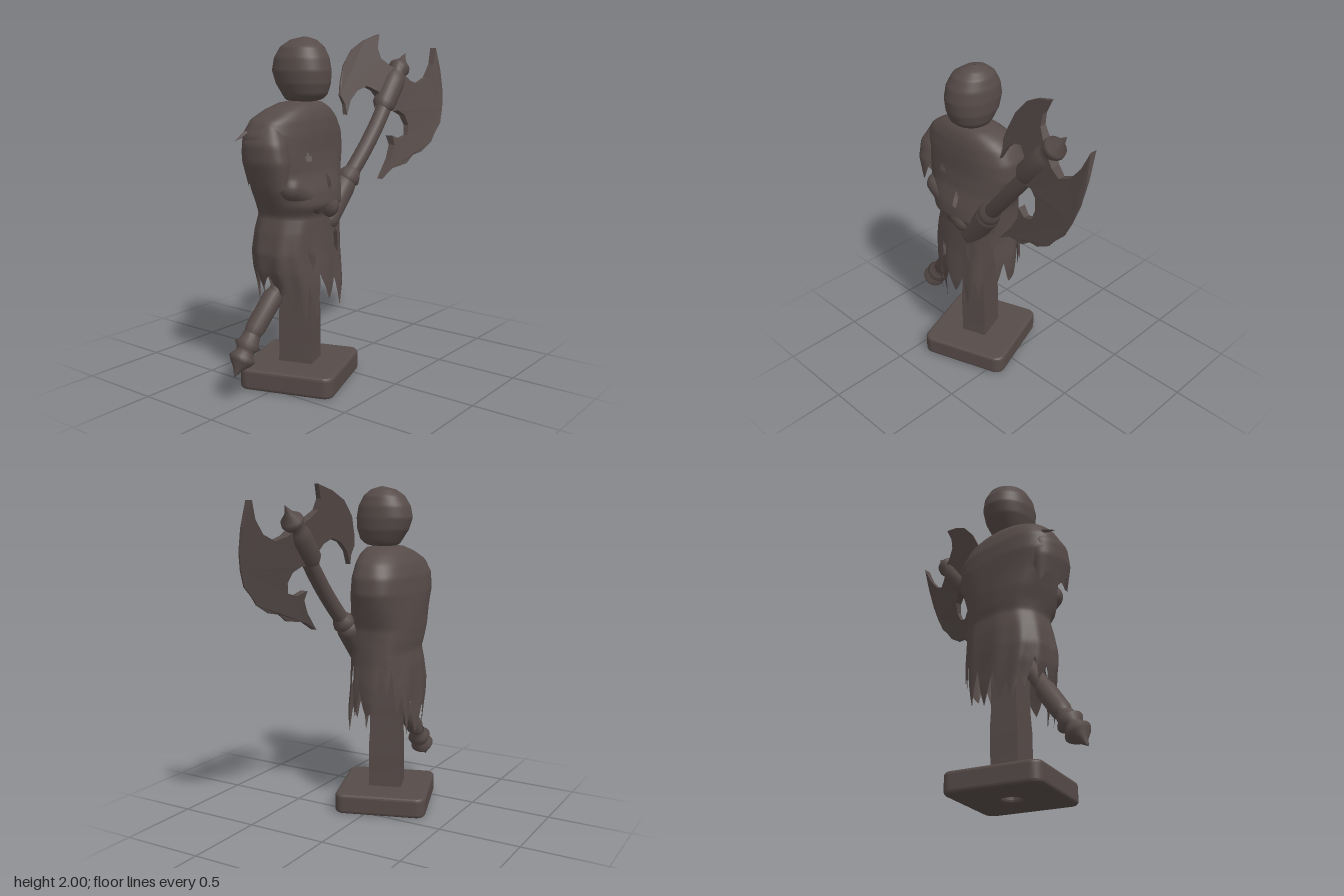
import * as THREE from 'three';

const V = (x, y, z) => new THREE.Vector3(x, y, z);

// Section at height y, interpolated from rows of [y, xMin, xMax, zMin, zMax]
function sectionAt(rows, y) {
  let k = 0;
  while (k < rows.length - 2 && y < rows[k + 1][0]) k++;
  const a = rows[k], b = rows[k + 1];
  const t = THREE.MathUtils.clamp((a[0] - y) / (a[0] - b[0]), 0, 1);
  return a.map((v, i) => v + (b[i] - v) * t);
}

// Loops of rounded sections from the top down to a hem height given per angle
function loft(rows, { seg = 96, steps = 50, power = 2.4, hem, hemTop = 0, fold = 0, holes = [] } = {}) {
  const top = rows[0][0], bottom = rows[rows.length - 1][0];
  const pos = [], index = [];
  for (let j = 0; j <= steps; j++) {
    for (let i = 0; i < seg; i++) {
      const a = (i / seg) * Math.PI * 2;
      let y = top + (bottom - top) * (j / steps);
      if (hem && y < hemTop) {
        y = hemTop + (hem(i / seg) - hemTop) * ((hemTop - y) / (hemTop - bottom));
      }
      const [, x0, x1, z0, z1] = sectionAt(rows, y);
      const c = Math.cos(a), s = Math.sin(a);
      const loose = THREE.MathUtils.clamp((1.1 - y) * 2.5, 0, 1);
      const k = 1 + fold * (loose * Math.sin(a * 11 + y * 3) + 0.35 * Math.sin(a * 5 + y * 17));
      const px = Math.sign(c) * Math.abs(c) ** (2 / power), pz = Math.sign(s) * Math.abs(s) ** (2 / power);
      pos.push((x0 + x1) / 2 + k * px * (x1 - x0) / 2, y, (z0 + z1) / 2 + k * pz * (z1 - z0) / 2);
    }
  }
  for (let j = 0; j < steps; j++) {
    for (let i = 0; i < seg; i++) {
      const n = (i + 1) % seg;
      const a = j * seg + i, b = j * seg + n, c = a + seg, d = b + seg;
      const torn = pos[a * 3 + 2] > 0 && holes.some(([x, y, rx, ry]) =>
        ((pos[a * 3] - x) / rx) ** 2 + ((pos[a * 3 + 1] - y) / ry) ** 2 < 1);
      if (!torn) index.push(a, b, c, b, d, c);
    }
  }
  const g = new THREE.BufferGeometry();
  g.setAttribute('position', new THREE.Float32BufferAttribute(pos, 3));
  g.setIndex(index);
  g.computeVertexNormals();
  return g;
}

// Ragged edge: heights spread evenly round the hem
const ragged = (list) => (u) => {
  const f = u * list.length, i = Math.floor(f);
  return THREE.MathUtils.lerp(list[i % list.length], list[(i + 1) % list.length], f - i);
};

export function createModel() {
  const group = new THREE.Group();
  const stone = new THREE.MeshStandardMaterial({ color: 0x564b49 });
  stone.name = 'darkStone';
  stone.side = THREE.DoubleSide;
  const add = (name, geometry) => {
    const mesh = new THREE.Mesh(geometry, stone);
    mesh.name = name;
    group.add(mesh);
    return mesh;
  };
  // Places a geometry whose axis is y along a direction
  const aim = (mesh, at, dir) => {
    mesh.position.copy(at);
    mesh.quaternion.setFromUnitVectors(V(0, 1, 0), dir.clone().normalize());
    return mesh;
  };
  const turned = (name, profile, at, dir) =>
    aim(add(name, new THREE.LatheGeometry(profile.map((p) => new THREE.Vector2(...p)), 20)), at, dir);

  // Base slab with a hollow underneath
  const h = 0.262, r = 0.04, slab = new THREE.Shape();
  [[1, 1, 0], [-1, 1, 1], [-1, -1, 2], [1, -1, 3]].forEach(([sx, sy, q]) =>
    slab.absarc(sx * (h - r), sy * (h - r), r, q * Math.PI / 2, (q + 1) * Math.PI / 2, false));
  slab.closePath();
  slab.holes.push(new THREE.Path().absarc(0, 0, 0.08, 0, Math.PI * 2, true));
  const baseGeo = new THREE.ExtrudeGeometry(slab, {
    depth: 0.084, bevelSize: 0.02, bevelThickness: 0.02, bevelSegments: 3, curveSegments: 5,
  });
  baseGeo.rotateX(-Math.PI / 2);
  const base = add('base', baseGeo);
  base.position.set(-0.255, 0.02, -0.003);
  base.rotation.y = 0.335;

  // Tapered post
  const postGeo = new THREE.BoxGeometry(0.165, 1.1, 0.205, 1, 10, 1);
  const pp = postGeo.attributes.position;
  for (let i = 0; i < pp.count; i++) {
    const y = pp.getY(i), k = 0.92 - y * 0.16 + 0.025 * Math.sin(y * 19);
    pp.setXYZ(i, pp.getX(i) * k, y, pp.getZ(i) * k);
  }
  postGeo.computeVertexNormals();
  const post = add('post', postGeo);
  post.position.set(-0.258, 0.61, -0.005);
  post.rotation.y = 0.335;

  // Ragged cloak with torn holes
  add('cloak', loft([
    [1.64, -0.29, -0.22, -0.02, 0.04], [1.63, -0.38, -0.13, -0.08, 0.1],
    [1.59, -0.49, -0.05, -0.13, 0.13], [1.54, -0.58, 0.01, -0.17, 0.145],
    [1.46, -0.63, 0.055, -0.2, 0.155], [1.36, -0.635, 0.062, -0.21, 0.16],
    [1.25, -0.585, 0.03, -0.21, 0.175], [1.15, -0.555, 0, -0.21, 0.205],
    [1.07, -0.525, 0, -0.205, 0.215], [1.01, -0.505, 0, -0.195, 0.18],
    [0.92, -0.53, 0, -0.205, 0.185], [0.8, -0.55, 0.01, -0.21, 0.19],
    [0.7, -0.54, 0.01, -0.21, 0.2], [0.6, -0.51, 0, -0.21, 0.21], [0.4, -0.47, -0.03, -0.2, 0.21],
  ], {
    seg: 144, steps: 80, power: 2.5, hemTop: 1, fold: 0.022,
    hem: ragged([
      0.62, 0.78, 0.6, 0.93, 0.78, 0.5, 0.66, 0.46, 0.64, 0.52, 0.68, 0.42,
      0.62, 0.41, 0.55, 0.43, 0.62, 0.55, 0.68, 0.6, 0.72, 0.55, 0.64, 0.46,
      0.6, 0.5, 0.66, 0.48, 0.7, 0.5, 0.75, 0.62, 0.92, 0.7, 0.9, 0.65,
    ]),
    holes: [[-0.37, 1.34, 0.022, 0.025], [-0.23, 1.2, 0.02, 0.045], [-0.34, 1.04, 0.025, 0.018],
      [-0.37, 0.79, 0.025, 0.04], [-0.15, 0.85, 0.02, 0.06]],
  }));

  // Empty sleeve hanging at the right shoulder, with a thorn
  add('rightSleeve', loft([
    [1.52, -0.59, -0.47, -0.08, 0.08], [1.42, -0.645, -0.47, -0.13, 0.14],
    [1.32, -0.645, -0.48, -0.13, 0.16], [1.15, -0.6, -0.5, -0.1, 0.15],
  ], { seg: 48, steps: 20, hemTop: 1.4, hem: ragged([1.2, 1.25, 1.3, 1.2, 1.17, 1.24, 1.16, 1.22, 1.17, 1.26, 1.2, 1.28]) }));
  aim(add('thorn', new THREE.ConeGeometry(0.014, 0.1, 8)), V(-0.655, 1.455, -0.08), V(-1, -0.4, 0));

  // Folded forearms under the cloth
  aim(add('leftForearm', new THREE.CapsuleGeometry(0.072, 0.22, 6, 16)), V(-0.1, 1.05, 0.13), V(0.62, 0.78, 0.06));
  aim(add('rightForearm', new THREE.CapsuleGeometry(0.07, 0.3, 6, 16)), V(-0.34, 1.11, 0.135), V(-0.9, 0.42, -0.12));

  // Hooded head
  add('head', loft([
    [1.985, -0.235, -0.225, 0.015, 0.025], [1.968, -0.3, -0.175, -0.06, 0.09], [1.93, -0.36, -0.135, -0.11, 0.14],
    [1.87, -0.39, -0.115, -0.145, 0.175], [1.8, -0.4, -0.11, -0.158, 0.19], [1.73, -0.39, -0.115, -0.135, 0.185],
    [1.67, -0.368, -0.135, -0.095, 0.165], [1.64, -0.35, -0.155, -0.075, 0.13], [1.62, -0.26, -0.24, 0, 0.02],
  ], { seg: 48, steps: 40, power: 2.1 }));

  // Axe shaft
  const shaft = new THREE.CatmullRomCurve3([
    V(-0.65, 0.38, -0.02), V(-0.3, 0.82, 0.06), V(0, 1.18, 0.15), V(0.2, 1.42, 0.18), V(0.45, 1.73, 0.175),
  ]);
  add('axeShaft', new THREE.TubeGeometry(shaft, 40, 0.046, 16));
  turned('shaftGrip', [[0.045, -0.22], [0.056, -0.18], [0.058, 0.02], [0.045, 0.06]], V(-0.52, 0.54, 0.005), V(0.62, 0.78, 0.12));
  turned('shaftCollar', [[0.045, -0.06], [0.055, -0.03], [0.07, 0], [0.06, 0.03], [0.045, 0.06]],
    V(0, 1.18, 0.15), V(0.64, 0.77, 0.2));
  turned('pommel', [[0.05, 0], [0.055, 0.04], [0.075, 0.06], [0.052, 0.09], [0.052, 0.11], [0.075, 0.14],
    [0.06, 0.165], [0.028, 0.2], [0, 0.25]], V(-0.655, 0.37, -0.02), V(-0.58, -0.81, 0));
  turned('axeSocket', [[0.045, 0], [0.068, 0.04], [0.07, 0.2], [0.06, 0.25], [0.05, 0.275], [0.066, 0.305],
    [0.062, 0.33], [0.025, 0.37], [0, 0.43]], V(0.295, 1.56, 0.18), V(0.64, 0.77, -0.03));

  // Axe blades: thick at the shaft, thin at the edge, tilted about the shaft
  const blade = (name, points) => {
    const g = new THREE.ExtrudeGeometry(new THREE.Shape(points.map((p) => new THREE.Vector2(...p))), { depth: 1, bevelEnabled: false });
    const p = g.attributes.position;
    for (let i = 0; i < p.count; i++) {
      const s = (p.getX(i) - 0.41) * 0.77 - (p.getY(i) - 1.68) * 0.64;
      const half = 0.004 + 0.032 * Math.max(0, 1 - Math.abs(s) / 0.3);
      p.setZ(i, 0.175 + 0.42 * s + (p.getZ(i) - 0.5) * 2 * half);
    }
    g.computeVertexNormals();
    add(name, g);
  };
  blade('upperBlade', [[0.39, 2], [0.28, 1.965], [0.18, 1.91], [0.1, 1.82], [0.055, 1.72], [0.035, 1.65], [0.05, 1.6],
    [0.045, 1.54], [0.09, 1.62], [0.15, 1.675], [0.22, 1.7], [0.28, 1.67], [0.33, 1.6], [0.48, 1.78],
    [0.41, 1.815], [0.36, 1.86], [0.355, 1.92]]);
  blade('lowerBlade', [[0.79, 1.92], [0.745, 1.82], [0.68, 1.74], [0.6, 1.7], [0.53, 1.725], [0.48, 1.77], [0.33, 1.59],
    [0.35, 1.55], [0.4, 1.55], [0.445, 1.52], [0.46, 1.46], [0.44, 1.4], [0.38, 1.38], [0.32, 1.405], [0.325, 1.35],
    [0.28, 1.27], [0.19, 1.16], [0.28, 1.215], [0.4, 1.235], [0.46, 1.28], [0.53, 1.295], [0.62, 1.35], [0.66, 1.4],
    [0.72, 1.46], [0.76, 1.55], [0.79, 1.65], [0.8, 1.78]]);

  return group;
}
